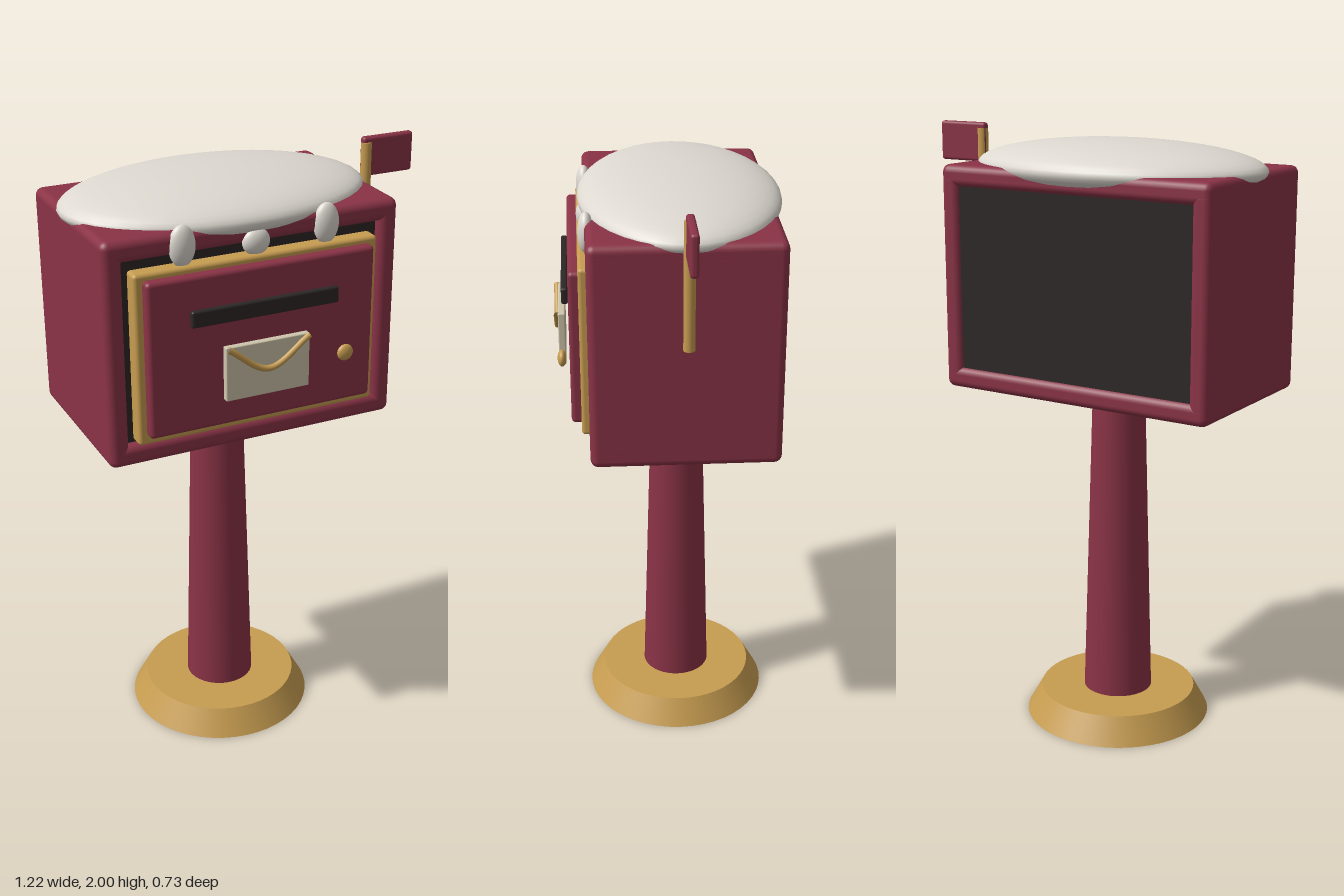
import * as THREE from 'three';
import { RoundedBoxGeometry } from 'three/addons/geometries/RoundedBoxGeometry.js';

const CX = -0.105, CZ = -0.04; // axis of the post

function material(name, color) {
  const m = new THREE.MeshStandardMaterial({ color });
  m.name = name;
  return m;
}

export function createModel() {
  const group = new THREE.Group();
  group.name = 'mailbox';
  const red = material('dark red', 0x8a3346);
  const gold = material('brass', 0xc69c50);
  const dark = material('charcoal', 0x2d2727);
  const snow = material('snow white', 0xddd8d0);
  const paper = material('cream paper', 0xcfc5ac);

  function add(name, geometry, mat, x = 0, y = 0, z = 0) {
    const mesh = new THREE.Mesh(geometry, mat);
    mesh.name = name;
    mesh.position.set(x, y, z);
    group.add(mesh);
    return mesh;
  }
  // rounded block given by its extents
  function block(name, mat, [x0, x1], [y0, y1], [z0, z1], r) {
    return add(name, new RoundedBoxGeometry(x1 - x0, y1 - y0, z1 - z0, 3, r), mat,
      (x0 + x1) / 2, (y0 + y1) / 2, (z0 + z1) / 2);
  }
  function ellipsoid(name, mat, x, y, z, rx, ry, rz) {
    const geometry = new THREE.SphereGeometry(1, 40, 24).scale(rx, ry, rz);
    return add(name, geometry, mat, x, y, z);
  }

  // foot and tapered post
  add('foot', new THREE.CylinderGeometry(0.265, 0.315, 0.09, 48), gold, CX, 0.045, CZ);
  add('post', new THREE.CylinderGeometry(0.086, 0.119, 1.199, 40), red, CX, 0.5995, CZ);

  // box shell: floor, roof and two side walls, open at front and back
  const depth = [-0.34, 0.26];
  block('floor', red, [-0.595, 0.385], [1.16, 1.23], depth, 0.025);
  block('roof', red, [-0.595, 0.385], [1.82, 1.89], depth, 0.025);
  for (const side of [-1, 1]) {
    const x = CX + side * 0.4575;
    block('sideWall', red, [x - 0.0325, x + 0.0325], [1.185, 1.865], depth, 0.025);
  }
  // dark inside, closing the back
  add('interior', new THREE.BoxGeometry(0.87, 0.61, 0.555), dark, CX, 1.525, -0.0475);

  // door with its brass surround
  block('doorSurround', gold, [-0.51, 0.298], [1.237, 1.79], [0.225, 0.284], 0.012);
  block('door', red, [-0.483, 0.273], [1.267, 1.77], [0.27, 0.315], 0.014);
  block('slot', dark, [-0.35, 0.14], [1.615, 1.668], [0.316, 0.337], 0.007);
  ellipsoid('doorKnob', gold, 0.165, 1.445, 0.34, 0.027, 0.027, 0.014);

  // envelope with a curved flap line
  block('envelope', paper, [-0.248, 0.034], [1.363, 1.54], [0.328, 0.351], 0.004);
  const flap = new THREE.CatmullRomCurve3([
    new THREE.Vector3(CX - 0.137, 1.535, 0.354),
    new THREE.Vector3(CX, 1.45, 0.354),
    new THREE.Vector3(CX + 0.137, 1.535, 0.354),
  ]);
  const flapLine = add('envelopeFlap', new THREE.TubeGeometry(flap, 32, 0.01, 10), gold);
  flapLine.material.side = THREE.DoubleSide;

  // signal flag
  add('flagPole', new THREE.CylinderGeometry(0.018, 0.018, 0.4, 20), gold, 0.437, 1.782, CZ);
  block('flag', red, [0.42, 0.605], [1.87, 2.0], [-0.054, -0.028], 0.01);

  // snow cap and drips over the front edge
  ellipsoid('snowCap', snow, CX, 1.885, -0.045, 0.505, 0.088, 0.325);
  for (const side of [-1, 1]) {
    ellipsoid('snowDrip', snow, CX + side * 0.238, 1.846, 0.255, 0.042, 0.065, 0.026);
  }
  ellipsoid('middleDrip', snow, CX, 1.825, 0.258, 0.045, 0.042, 0.026);

  return group;
}
